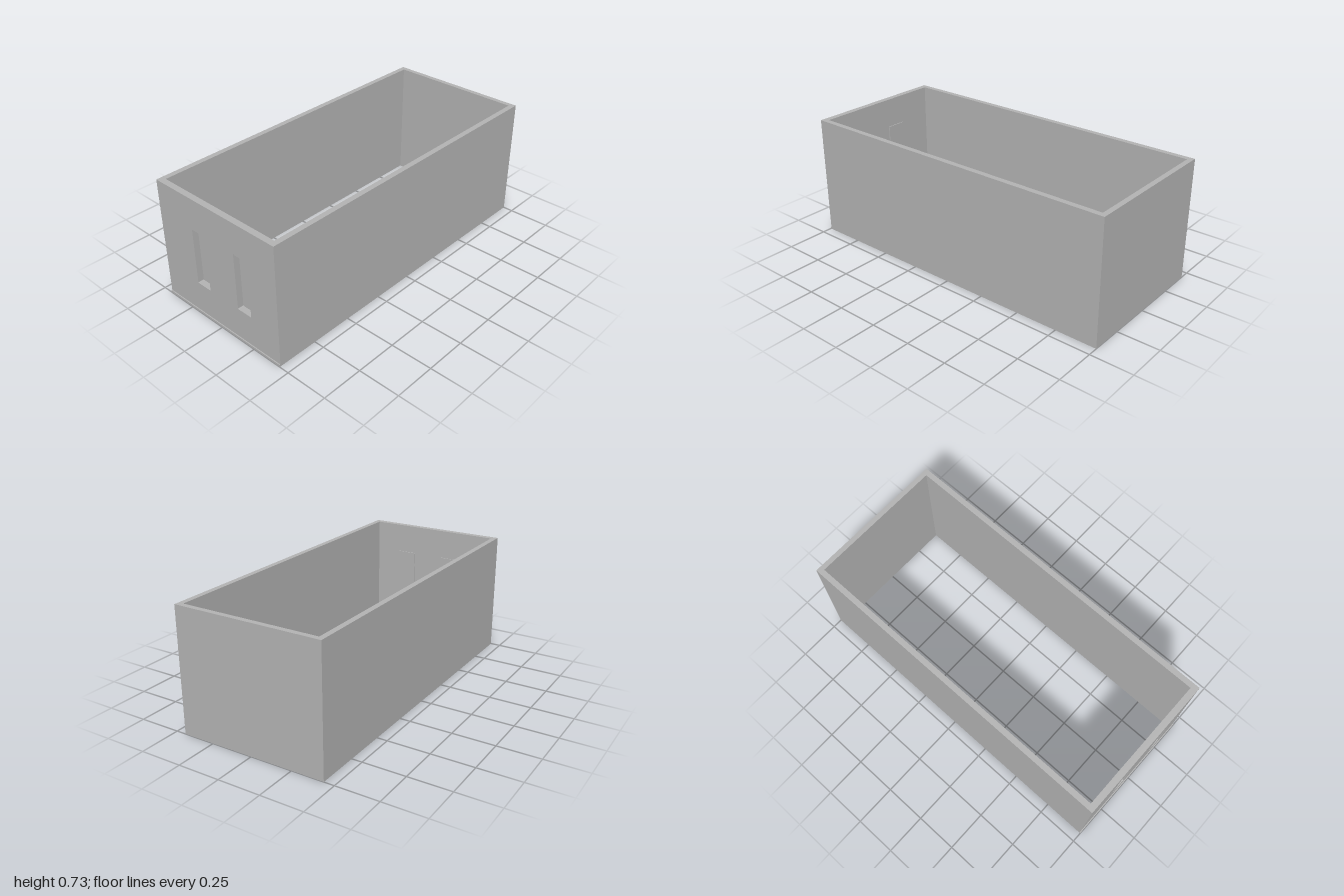
import * as THREE from 'three';

const W = 0.44, H = 0.73;            // half width, height
const INNER = 0.408, BACK = -1, BACK_IN = -0.97;
const FRONT = 0.994, FRONT_IN = 0.958;
const SLOT_X = [-0.128, 0.19];       // slot centres

const grey = new THREE.MeshStandardMaterial({ color: 0xb2b2b2 });
grey.name = 'plain grey';

function add(group, name, geometry, x = 0, y = 0, z = 0) {
  const mesh = new THREE.Mesh(geometry, grey);
  mesh.name = name;
  mesh.position.set(x, y, z);
  group.add(mesh);
}

// Rectangle path with slightly softened corners
function slotPath(cx, y0, y1, hw, r) {
  const p = new THREE.Path();
  p.moveTo(cx - hw + r, y0);
  p.lineTo(cx + hw - r, y0);
  p.quadraticCurveTo(cx + hw, y0, cx + hw, y0 + r);
  p.lineTo(cx + hw, y1 - r);
  p.quadraticCurveTo(cx + hw, y1, cx + hw - r, y1);
  p.lineTo(cx - hw + r, y1);
  p.quadraticCurveTo(cx - hw, y1, cx - hw, y1 - r);
  p.lineTo(cx - hw, y0 + r);
  p.quadraticCurveTo(cx - hw, y0, cx - hw + r, y0);
  return p;
}

export function createModel() {
  const model = new THREE.Group();
  model.name = 'openBox';

  // Side and back walls: one U-shaped plan raised to full height
  const plan = [
    [-W, FRONT_IN], [-INNER, FRONT_IN], [-INNER, BACK_IN], [INNER, BACK_IN],
    [INNER, FRONT_IN], [W, FRONT_IN], [W, BACK], [-W, BACK],
  ].map(([x, z]) => new THREE.Vector2(x, -z));
  const walls = new THREE.ExtrudeGeometry(new THREE.Shape(plan), { depth: H, bevelEnabled: false });
  walls.rotateX(-Math.PI / 2);
  add(model, 'sideAndBackWalls', walls);

  // Front wall pierced by two upright slots
  const face = new THREE.Shape([
    new THREE.Vector2(-W, 0), new THREE.Vector2(W, 0),
    new THREE.Vector2(W, H), new THREE.Vector2(-W, H),
  ]);
  for (const x of SLOT_X) face.holes.push(slotPath(x, 0.2, 0.54, 0.05, 0.004));
  const front = new THREE.ExtrudeGeometry(face, { depth: FRONT - FRONT_IN, bevelEnabled: false, curveSegments: 3 });
  add(model, 'frontWall', front, 0, 0, FRONT_IN);

  // Thin plates closing the slots from the inside
  for (const x of SLOT_X) {
    add(model, 'slotBackPlate', new THREE.BoxGeometry(0.12, 0.36, 0.006), x, 0.37, FRONT_IN - 0.003);
  }

  // Narrow lip along the foot of the front wall
  add(model, 'frontLip', new THREE.BoxGeometry(2 * W, 0.013, 1 - FRONT), 0, 0.0065, (1 + FRONT) / 2);

  return model;
}
